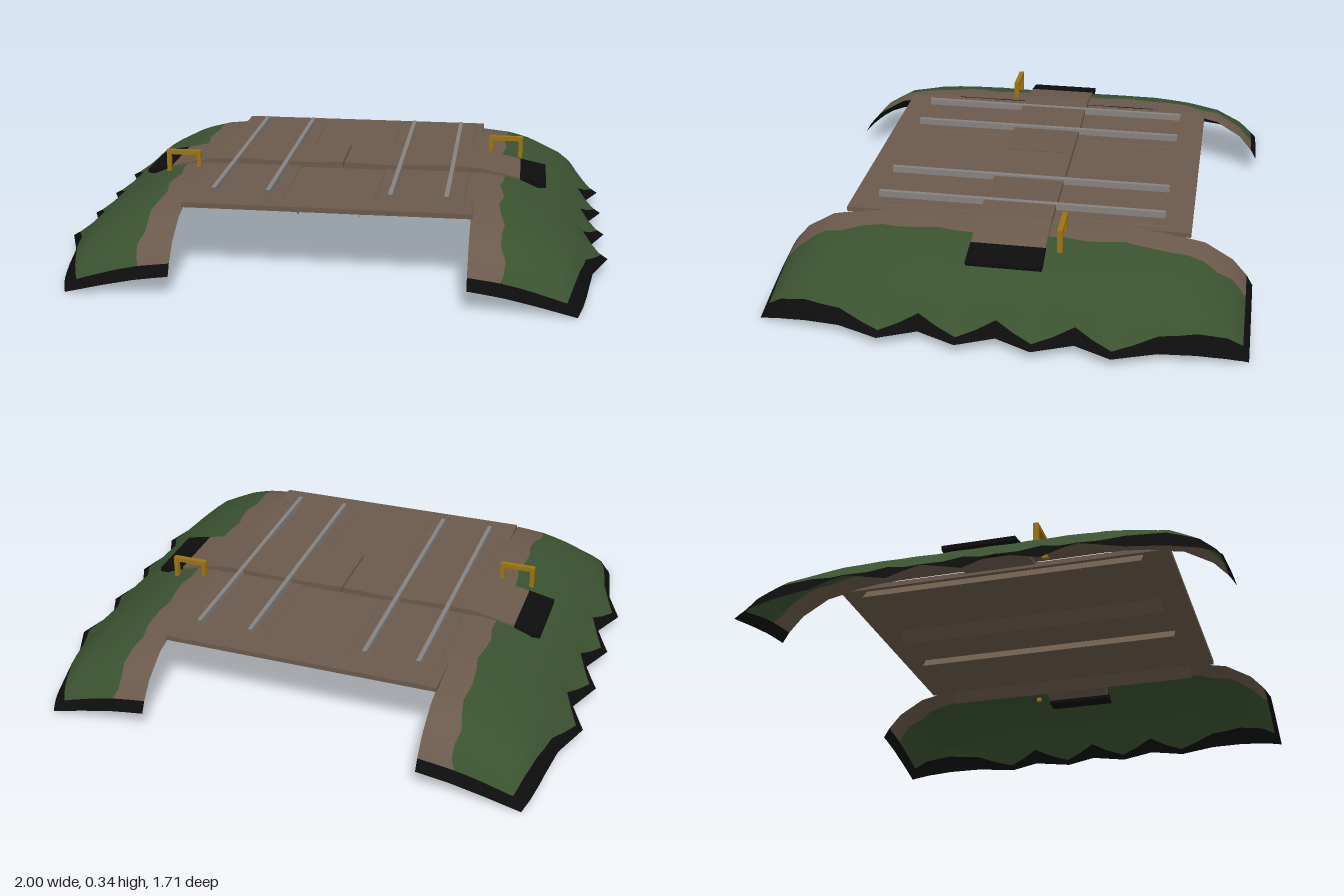
import * as THREE from 'three';

const mat = (name, color) => {
  const m = new THREE.MeshStandardMaterial({ color, side: THREE.DoubleSide });
  m.name = name;
  return m;
};

// piecewise linear lookup in a list of [input, output] pairs
function lookup(table, t) {
  for (let i = 1; i < table.length; i++) {
    const [a, p] = table[i - 1], [b, q] = table[i];
    if (t <= b) return p + (q - p) * Math.max(0, (t - a) / (b - a));
  }
  return table[table.length - 1][1];
}

// bank shape: scalloped outer edge, slope across, and fall towards the ends
const OUTER = [[0, 0.94], [0.13, 1], [0.27, 0.94], [0.4, 1], [0.55, 0.94], [0.72, 0.915], [0.8, 0.9], [0.855, 0.88]];
const MID = [[0.51, 0.275], [0.62, 0.265], [0.7, 0.245], [0.84, 0.172], [0.94, 0.078], [1, 0.045]];
const END = [[0.51, 0.075], [0.62, 0.06], [0.75, 0.032], [0.88, 0]];
const RISE = [[0, 1], [0.4, 1], [0.53, 0.95], [0.68, 0.8], [0.78, 0.5], [0.832, 0.2], [0.855, 0]];
const HALF = [0.065, 0.13, 0.2, 0.27, 0.335, 0.4, 0.47, 0.55, 0.62, 0.68, 0.73, 0.78, 0.81, 0.832, 0.855];
const ROWS = [...HALF.map((z) => -z).reverse(), 0, ...HALF];

function bankGeometry(side) {
  const pos = [], lists = [[], [], []]; // earth, grass, dark rim
  const cols = 10;
  ROWS.forEach((z, r) => {
    const d = Math.abs(z), outer = lookup(OUTER, d);
    const seam = 0.612 + 0.009 * Math.sin(r * 1.9) + 0.02 * Math.max(0, d - 0.5) / 0.35;
    const rim = outer - 0.026 - 0.02 * Math.max(0, d - 0.6) / 0.25;
    const xs = [0.51, (0.51 + seam) / 2, seam];
    for (let i = 1; i <= 6; i++) xs.push(seam + (rim - seam) * i / 6);
    xs.push(outer);
    xs.forEach((x, c) => {
      const mid = c === cols - 1 ? 0.045 : lookup(MID, x);
      const end = lookup(END, x);
      pos.push(x * side, end + (mid - end) * lookup(RISE, d), z);
    });
  });
  for (let r = 0; r < ROWS.length - 1; r++) {
    for (let c = 0; c < cols - 1; c++) {
      const a = r * cols + c, b = a + 1, e = a + cols, f = e + 1;
      const atEnd = r === 0 || r === ROWS.length - 2;
      const list = lists[atEnd || c === cols - 2 ? 2 : c < 2 ? 0 : 1];
      if (side > 0) list.push(a, e, b, b, e, f);
      else list.push(a, b, e, b, f, e);
    }
  }
  const g = new THREE.BufferGeometry();
  g.setAttribute('position', new THREE.Float32BufferAttribute(pos, 3));
  g.setIndex(lists.flat());
  let start = 0;
  lists.forEach((l, i) => { g.addGroup(start, l.length, i); start += l.length; });
  g.computeVertexNormals();
  return g;
}

// open strip: an x/y polyline swept along z without end caps
function strip(points, halfLength) {
  const pos = [];
  for (let i = 0; i < points.length - 1; i++) {
    const [ax, ay] = points[i], [bx, by] = points[i + 1], L = halfLength;
    pos.push(ax, ay, -L, ax, ay, L, bx, by, -L, bx, by, -L, ax, ay, L, bx, by, L);
  }
  const g = new THREE.BufferGeometry();
  g.setAttribute('position', new THREE.Float32BufferAttribute(pos, 3));
  g.computeVertexNormals();
  return g;
}

// solid block: closed x/y outline extruded along z, centred
function block(points, length) {
  const shape = new THREE.Shape(points.map(([x, y]) => new THREE.Vector2(x, y)));
  return new THREE.ExtrudeGeometry(shape, { depth: length, bevelEnabled: false }).translate(0, 0, -length / 2);
}

export function createModel() {
  const root = new THREE.Group();
  const earth = mat('earth brown', 0x6b5a4c);
  const grass = mat('grass green', 0x3a5230);
  const dark = mat('dark rim', 0x0d0d0d);
  const steel = mat('rail steel', 0x85827e);
  const yellow = mat('barrier yellow', 0x9c7512);

  const add = (name, geometry, material, parent = root) => {
    const m = new THREE.Mesh(geometry, material);
    m.name = name;
    parent.add(m);
    return m;
  };

  // flat bed between the banks
  add('bed', new THREE.BoxGeometry(1.03, 0.018, 1.256), earth).position.y = 0.261;

  for (const side of [1, -1]) {
    const label = side > 0 ? 'left' : 'right';
    const mirror = (pts) => pts.map(([x, y]) => [x * side, y]).reverse();
    const order = (pts) => (side > 0 ? pts : mirror(pts));

    add(label + 'Bank', bankGeometry(side), [earth, grass, dark]);

    // track base with sloping flanks that hang below the bed
    add(label + 'TrackBase', strip(order([[0.11, 0.21], [0.165, 0.274], [0.48, 0.274], [0.535, 0.21]]), 0.53), earth);

    // open-ended rails
    for (const x of [0.22, 0.42]) {
      const c = x * side, w = 0.008;
      add(label + 'Rail', strip([[c - w, 0.272], [c - w, 0.298], [c + w, 0.298], [c + w, 0.272]], 0.53), steel);
    }

    // crossing slabs, split at the rails
    const slabs = [
      [[0.003, 0.268], [0.211, 0.268], [0.211, 0.289], [0.003, 0.294]],
      [[0.229, 0.268], [0.411, 0.268], [0.411, 0.296], [0.229, 0.291]],
      [[0.429, 0.268], [0.54, 0.262], [0.68, 0.235], [0.68, 0.258], [0.53, 0.29], [0.429, 0.296]],
    ];
    for (const s of slabs) add(label + 'CrossingSlab', block(order(s), 0.265), earth);

    // dark ramp end let into the bank
    add(label + 'RampEnd', block(order([[0.676, 0.222], [0.775, 0.222], [0.775, 0.238], [0.676, 0.259]]), 0.268), dark);

    // hooped barrier
    const barrier = new THREE.Group();
    barrier.name = label + 'Barrier';
    barrier.position.set(0.615 * side, 0, -0.183 * side);
    const bar = (name, w, h, x, y) => add(name, new THREE.BoxGeometry(w, h, 0.019), yellow, barrier).position.set(x * side, y, 0);
    bar('topBar', 0.134, 0.017, 0, 0.327);
    bar('innerPost', 0.016, 0.066, -0.059, 0.29);
    bar('outerPost', 0.016, 0.085, 0.059, 0.28);
    root.add(barrier);
  }
  return root;
}
